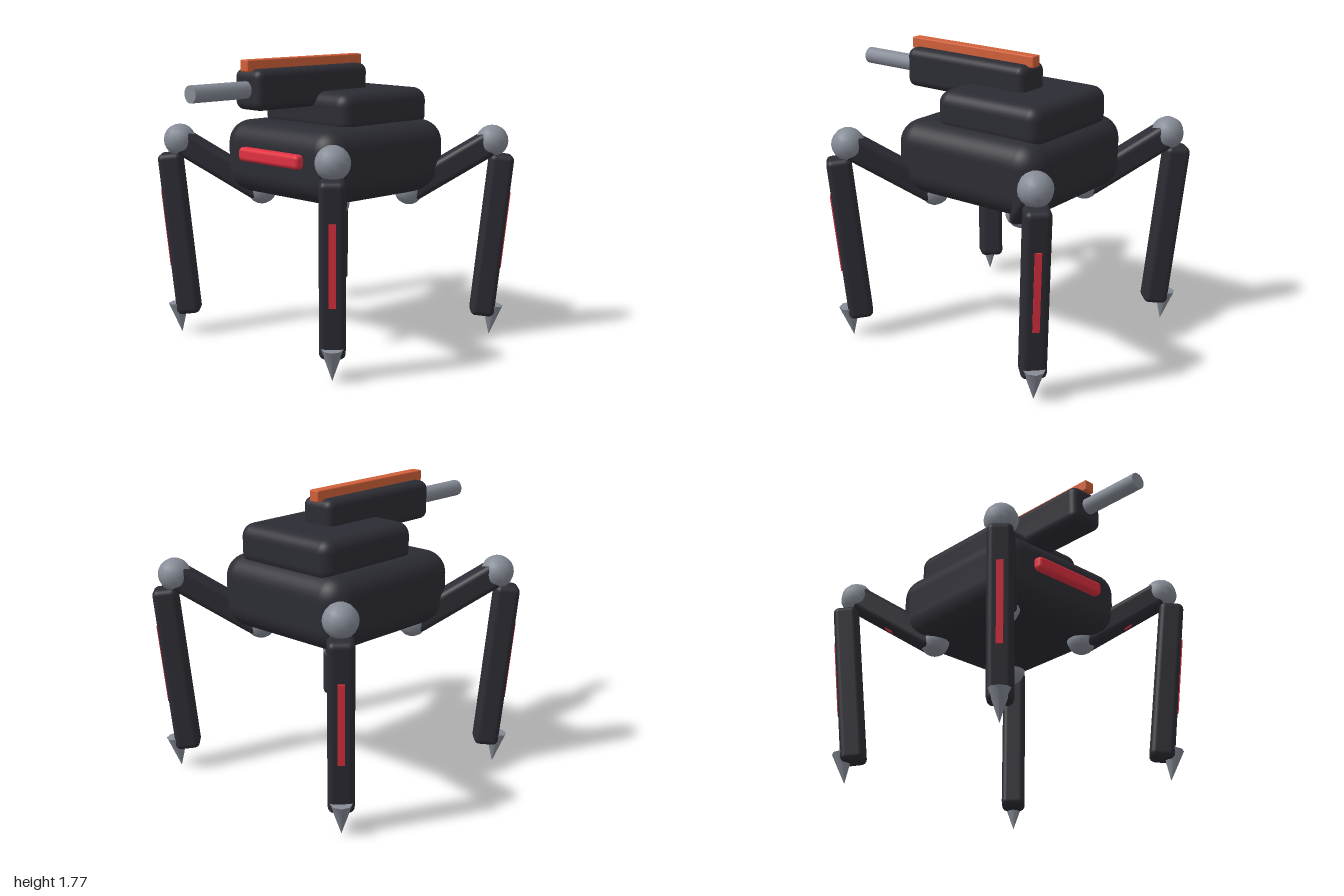
import * as THREE from 'three';
import { RoundedBoxGeometry } from 'three/addons/geometries/RoundedBoxGeometry.js';

const material = (name, color) => {
  const m = new THREE.MeshStandardMaterial({ color });
  m.name = name;
  return m;
};

export function createModel() {
  const armour = material('dark armour', 0x2c2c34);
  const steel = material('grey steel', 0x868b96);
  const red = material('red glow', 0xe03040);
  const orange = material('orange rail', 0xd2603a);
  const CZ = -0.17; // centre of the body and the legs

  const add = (parent, name, geometry, mat, x, y, z) => {
    const mesh = new THREE.Mesh(geometry, mat);
    mesh.name = name;
    mesh.position.set(x, y, z);
    parent.add(mesh);
    return mesh;
  };
  const rounded = (w, h, d, r, seg = 4) => new RoundedBoxGeometry(w, h, d, seg, r);

  // Turns a part so that its y axis runs from a to b in the leg plane
  const span = (parent, name, geometry, mat, a, b) => {
    const mesh = add(parent, name, geometry, mat, (a[0] + b[0]) / 2, (a[1] + b[1]) / 2, 0);
    mesh.rotation.z = Math.atan2(a[0] - b[0], b[1] - a[1]);
    return mesh;
  };
  const dist = (a, b) => Math.hypot(b[0] - a[0], b[1] - a[1]);

  const model = new THREE.Group();
  model.name = 'walker';

  // Hull, turret and front sensor
  add(model, 'hull', rounded(0.98, 0.445, 1.04, 0.14, 5), armour, 0, 1.153, CZ);
  add(model, 'turret', rounded(0.74, 0.25, 0.74, 0.08), armour, 0, 1.445, -0.26);
  add(model, 'frontSensor', rounded(0.53, 0.085, 0.08, 0.025), red, 0, 1.185, 0.36);

  // Cannon
  add(model, 'cannonHousing', rounded(0.235, 0.24, 0.895, 0.05), armour, 0, 1.6, 0.103);
  add(model, 'cannonRail', rounded(0.07, 0.07, 0.925, 0.008, 2), orange, 0, 1.739, 0.103);
  const barrel = add(model, 'barrel', new THREE.CylinderGeometry(0.051, 0.051, 0.5, 16), steel, 0, 1.6, 0.707);
  barrel.rotation.x = Math.PI / 2;

  // Four legs, each built in its own plane with +x pointing outward
  const hip = [0.46, 0.935], knee = [0.969, 1.243];
  const ankle = [0.926, 0.137], shinTop = [1.032, 1.163];
  const clawBase = [0.997, 0.2], clawTip = [0.976, 0.007];
  const legNames = ['frontLeftLeg', 'backLeftLeg', 'backRightLeg', 'frontRightLeg'];
  legNames.forEach((name, i) => {
    const leg = new THREE.Group();
    leg.name = name;
    leg.position.z = CZ;
    leg.rotation.y = -Math.PI / 4 + i * Math.PI / 2;
    model.add(leg);

    add(leg, 'hipJoint', new THREE.SphereGeometry(0.092, 12, 10), steel, hip[0], hip[1], 0);
    add(leg, 'kneeJoint', new THREE.SphereGeometry(0.101, 12, 10), steel, knee[0], knee[1], 0);

    const thigh = span(leg, 'thigh', rounded(0.155, dist(hip, knee), 0.15, 0.035), armour, hip, knee);
    add(thigh, 'thighLight', new THREE.BoxGeometry(0.009, 0.05, 0.03), red, 0.077, 0, 0);

    const shin = span(leg, 'shin', rounded(0.15, dist(ankle, shinTop), 0.15, 0.035), armour, ankle, shinTop);
    add(shin, 'shinLight', new THREE.BoxGeometry(0.0095, 0.485, 0.04), red, 0.078, 0.042, 0);

    span(leg, 'claw', new THREE.ConeGeometry(0.065, dist(clawBase, clawTip), 8), steel, clawBase, clawTip);
  });

  // Front legs come first and last when turning about y
  model.children.filter((c) => c.name.endsWith('Leg')).forEach((leg) => {
    const front = Math.sin(leg.rotation.y) < 0, left = Math.cos(leg.rotation.y) > 0;
    leg.name = (front ? 'front' : 'back') + (left ? 'Left' : 'Right') + 'Leg';
  });
  return model;
}
